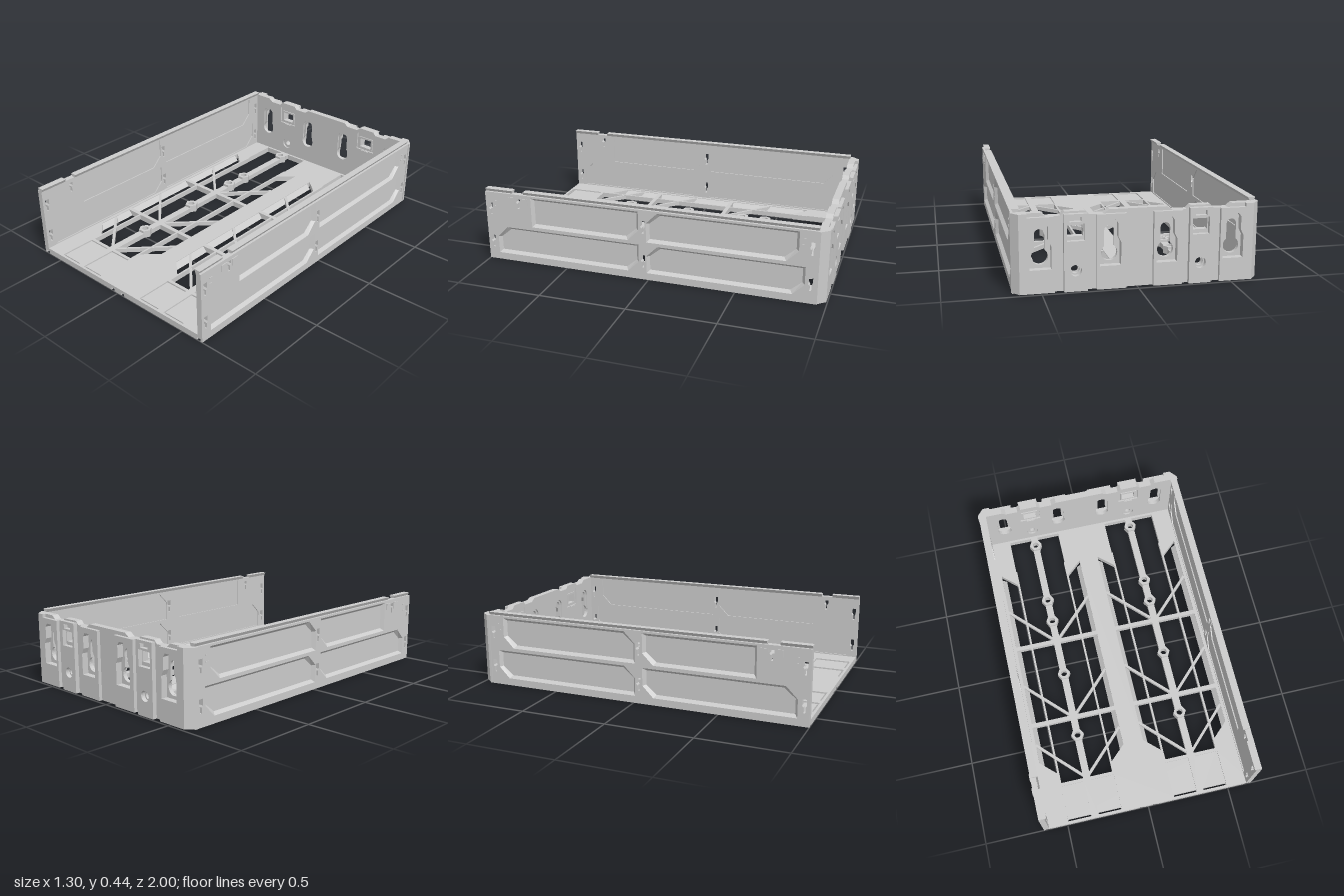
import * as THREE from 'three';

const mat = new THREE.MeshStandardMaterial({ color: 0xcccccc, flatShading: true });
const thin = new THREE.MeshStandardMaterial({ color: 0xcccccc, flatShading: true, side: THREE.DoubleSide });

const poly = (pts, C = THREE.Shape) => new C(pts.map(p => new THREE.Vector2(p[0], p[1])));
const rect = (x0, x1, y0, y1) => [[x0, y0], [x1, y0], [x1, y1], [x0, y1]];
const circle = (x, y, r, n = 24) => Array.from({ length: n }, (_, i) => {
  const a = i / n * Math.PI * 2;
  return [x + r * Math.cos(a), y + r * Math.sin(a)];
});

// Extrudes an outline with holes from a to b
function slab(outline, holes, a, b) {
  const s = poly(outline);
  s.holes = holes.map(h => poly(h, THREE.Path));
  return new THREE.ExtrudeGeometry(s, { depth: b - a, bevelEnabled: false }).translate(0, 0, a);
}
// Outlines in (x, -z) rise along y; outlines in (-z, y) thicken along x
const flat = (o, h, a, b) => slab(o, h, a, b).rotateX(-Math.PI / 2);
const side = (o, h, a, b) => slab(o, h, a, b).rotateY(Math.PI / 2);

function add(parent, name, geo, m = mat) {
  const mesh = new THREE.Mesh(geo, m);
  mesh.name = name;
  parent.add(mesh);
  return mesh;
}
function box(parent, name, x0, x1, y0, y1, z0, z1) {
  const g = new THREE.BoxGeometry(x1 - x0, y1 - y0, z1 - z0);
  return add(parent, name, g.translate((x0 + x1) / 2, (y0 + y1) / 2, (z0 + z1) / 2));
}

const CX = 0.327; // centre line of each half of the tray

function buildFloor(root) {
  const g = new THREE.Group();
  g.name = 'floor';
  root.add(g);
  const openings = [], pockets = [], slots = [];
  for (const s of [-1, 1]) {
    const c = s * CX;
    const half = [[0.165, 0.92], [0.165, 0.6], [0.265, 0.69], [0.265, -0.6], [0.168, -0.69], [0.165, -0.75]];
    openings.push([...half, ...half.slice().reverse().map(([d, v]) => [-d, v])].map(([d, v]) => [c + d, v]));
    for (const t of [-1, 1]) {
      const a = c + t * 0.093;
      pockets.push(rect(a - 0.072, a + 0.072, -0.985, -0.77));
      slots.push(rect(a - 0.07, a + 0.07, -0.984, -0.972));
    }
  }
  // Underside with guide grooves open at the front
  const under = [[-0.645, -1]];
  for (const x of [-0.62, -0.04, 0.04, 0.62])
    under.push([x - 0.013, -1], [x - 0.013, 0.9], [x + 0.013, 0.9], [x + 0.013, -1]);
  under.push([0.645, -1], [0.645, 0.95], [-0.645, 0.95]);
  const plate = rect(-0.645, 0.645, -1, 0.95);
  add(g, 'floorUnderside', flat(under, [...openings, ...slots], 0, 0.016));
  add(g, 'floorCore', flat(plate, [...openings, ...slots], 0.016, 0.027));
  add(g, 'floorTop', flat(plate, [...openings, ...pockets], 0.027, 0.035));

  for (const s of [-1, 1]) {
    const c = s * CX, nuts = [-0.86, -0.45, -0.3, 0.07, 0.48];
    // Central rail with hexagonal screw bosses
    add(g, 'centreRail', flat(rect(c - 0.022, c + 0.022, -0.76, 0.93), nuts.map(z => circle(c, -z, 0.019)), 0.005, 0.035));
    for (const z of nuts)
      add(g, 'screwBoss', flat(circle(c, -z, 0.04, 6), [circle(c, -z, 0.019)], 0.005, 0.05));
    for (const z of [-0.16, 0.36]) box(g, 'crossBar', c - 0.268, c + 0.268, 0, 0.035, z - 0.013, z + 0.013);
    for (const t of [-1, 1]) {
      const x = c + t * 0.165;
      box(g, 'thinRail', x - 0.006, x + 0.006, 0.005, 0.035, -0.7, 0.76);
      // Sloped opening edges
      const edge = slab([[0.267, 0.001], [0.267, 0.034], [0.238, 0.001]].map(([d, y]) => [c + t * d, y]), [], -0.66, 0.63);
      add(g, 'slopedEdge', edge);
      // Diagonal braces
      for (const z of [-0.16, 0.36, 0.75]) {
        const brace = new THREE.BoxGeometry(0.374, 0.025, 0.016);
        const m = add(g, 'diagonalBrace', brace);
        m.position.set(c + t * 0.133, 0.0205, z - 0.133);
        m.rotation.y = t * Math.PI / 4;
      }
    }
  }
}

// Sloped rim between a panel outline and its inset copy
function rim(pts, xOut, xIn, inset) {
  const us = pts.map(p => p[0]), ys = pts.map(p => p[1]);
  const mid = a => (Math.min(...a) + Math.max(...a)) / 2;
  const span = a => Math.max(...a) - Math.min(...a);
  const [mu, my, ku, ky] = [mid(us), mid(ys), 1 - 2 * inset / span(us), 1 - 2 * inset / span(ys)];
  const pos = [], idx = [], n = pts.length;
  pts.forEach(([u, y], i) => {
    pos.push(xOut, y, -u, xIn, my + (y - my) * ky, -(mu + (u - mu) * ku));
    const a = 2 * i, b = 2 * ((i + 1) % n);
    idx.push(a, b, b + 1, a, b + 1, a + 1);
  });
  const geo = new THREE.BufferGeometry();
  geo.setAttribute('position', new THREE.Float32BufferAttribute(pos, 3));
  geo.setIndex(idx);
  geo.computeVertexNormals();
  return geo;
}

function buildWall(root, s) {
  const g = new THREE.Group();
  g.name = s > 0 ? 'leftWall' : 'rightWall';
  g.scale.x = s;
  root.add(g);
  const c = 0.065;
  const panels = [
    [[-0.71, 0.23], [-0.12, 0.23], [-0.055, 0.295], [-0.055, 0.408], [-0.71, 0.408]],
    [[-0.01, 0.23], [0.84 - c, 0.23], [0.84, 0.295], [0.84, 0.408], [0.055, 0.408], [-0.01, 0.343]],
    [[-0.935, 0.042], [-0.12, 0.042], [-0.055, 0.107], [-0.055, 0.21], [-0.87, 0.21], [-0.935, 0.145]],
    [[-0.01, 0.042], [0.88 - c, 0.042], [0.88, 0.107], [0.88, 0.21], [0.055, 0.21], [-0.01, 0.145]],
  ];
  // Keyed latch slots
  const slot = (z, y0, y1) => [[-z - 0.006, y0], [-z + 0.006, y0], [-z + 0.006, y0 + 0.03], [-z + 0.013, y0 + 0.04],
    [-z + 0.013, y1], [-z - 0.013, y1], [-z - 0.013, y0 + 0.04], [-z - 0.006, y0 + 0.03]];
  const slots = [[0.97, 0.28, 0.355], [0.97, 0.075, 0.15], [0.03, 0.28, 0.355], [0.03, 0.075, 0.15],
    [-0.91, 0.28, 0.355], [-0.91, 0.075, 0.15], [0.79, 0.335, 0.395]].map(a => slot(...a));
  add(g, 'wallFrame', side(rect(-1, 0.945, 0.034, 0.42), [...panels, ...slots], 0.612, 0.645));
  for (const p of panels) {
    add(g, 'recessedPanel', side(p, [], 0.619, 0.626));
    add(g, 'panelRim', rim(p, 0.645, 0.626, 0.016), thin);
  }
  // Dovetail guide along the top
  const tail = [[0.61, 0.418], [0.63, 0.418], [0.64, 0.437], [0.6, 0.437]];
  for (const [a, b] of [[-0.94, 0.76], [0.83, 1]]) add(g, 'dovetailGuide', slab(tail, [], a, b));
  // Spring clip near the front
  box(g, 'clip', 0.64, 0.65, 0.36, 0.4, 0.73, 0.77);
  box(g, 'clip', 0.64, 0.65, 0.36, 0.4, 0.81, 0.85);
  for (const z of [0.93, -0.865])
    for (const y of [0.33, 0.365]) box(g, 'slotMark', 0.643, 0.648, y, y + 0.007, z - 0.01, z + 0.01);
  // Chamfered rear corner post
  add(g, 'cornerPost', flat([[0.57, 0.935], [0.65, 0.935], [0.65, 0.95], [0.612, 0.995], [0.57, 0.995]], [], 0.006, 0.42));
}

// Keyhole outline: round head below, slot with a round top above
function keyhole(x, r, w, top, cy = 0.19) {
  const pts = [];
  for (let i = 0; i <= 8; i++) {
    const a = Math.PI * i / 8;
    pts.push([x + w * Math.cos(a), top - w + w * Math.sin(a)]);
  }
  const a0 = Math.acos(Math.min(1, w / r));
  for (let i = 0; i <= 18; i++) {
    const a = Math.PI - a0 + (Math.PI + 2 * a0) * i / 18;
    pts.push([x + r * Math.cos(a), cy + r * Math.sin(a)]);
  }
  return pts;
}

function buildBack(root) {
  const g = new THREE.Group();
  g.name = 'backWall';
  root.add(g);
  const keyX = [-0.505, -0.148, 0.148, 0.505], midX = [-CX, CX];
  // Top edge with shallow dips
  const right = [[0.15, 0.42], [0.18, 0.4], [0.255, 0.4], [0.275, 0.42], [0.38, 0.42], [0.4, 0.4], [0.475, 0.4], [0.5, 0.42], [0.575, 0.42]];
  const outline = [[-0.575, 0.006], [0.575, 0.006], ...right.slice().reverse(), ...right.map(([x, y]) => [-x, y])];
  const windows = midX.map(x => rect(x - 0.04, x + 0.04, 0.29, 0.348));
  const frames = midX.map(x => rect(x - 0.065, x + 0.065, 0.27, 0.385));
  const keys = (r, w, top) => keyX.map(x => keyhole(x, r, w, top));
  const holes = r => midX.map(x => circle(x, 0.117, r));
  add(g, 'innerFace', slab(outline, [...keys(0.043, 0.04, 0.345), ...frames, ...holes(0.037)], -0.945, -0.935));
  add(g, 'middlePlate', slab(outline, [...keys(0.043, 0.026, 0.332), ...windows, ...holes(0.018)], -0.958, -0.945));
  const pocket = x => [[x - 0.055, 0.13], [x + 0.055, 0.13], [x + 0.055, 0.25], [x + 0.04, 0.28], [x + 0.04, 0.35],
    [x + 0.025, 0.37], [x - 0.025, 0.37], [x - 0.04, 0.35], [x - 0.04, 0.28], [x - 0.055, 0.25]];
  add(g, 'outerPlate', slab(outline, [...keyX.map(pocket), ...windows, ...holes(0.022)], -0.975, -0.958));
  // Raised outer pads
  for (const s of [-1, 1]) {
    add(g, 'keyholePad', slab(rect(s * 0.148 - 0.085, s * 0.148 + 0.07, 0.006, 0.4), [pocket(s * 0.148)], -0.995, -0.975));
    add(g, 'keyholePad', slab(rect(s * 0.505 - 0.07, s * 0.505 + 0.07, 0.006, 0.4), [pocket(s * 0.505)], -0.995, -0.975));
    const c = s * CX;
    add(g, 'mountColumn', slab(rect(c - 0.06, c + 0.06, 0.006, 0.41),
      [rect(c - 0.045, c + 0.045, 0.27, 0.36), circle(c, 0.117, 0.03), rect(c - 0.03, c + 0.03, 0.37, 0.395)], -1, -0.975));
    box(g, 'columnLatch', c - 0.035, c + 0.035, 0.2, 0.225, -1, -0.985);
    // Small inner lip below and slim frame around each window
    box(g, 'windowLip', c - 0.025, c + 0.025, 0.262, 0.268, -0.936, -0.928);
    add(g, 'windowFrame', slab(rect(c - 0.052, c + 0.052, 0.28, 0.36), [rect(c - 0.04, c + 0.04, 0.29, 0.348)], -0.946, -0.938));
  }
}

export function createModel() {
  const root = new THREE.Group();
  root.name = 'openTray';
  buildFloor(root);
  buildWall(root, 1);
  buildWall(root, -1);
  buildBack(root);
  return root;
}
